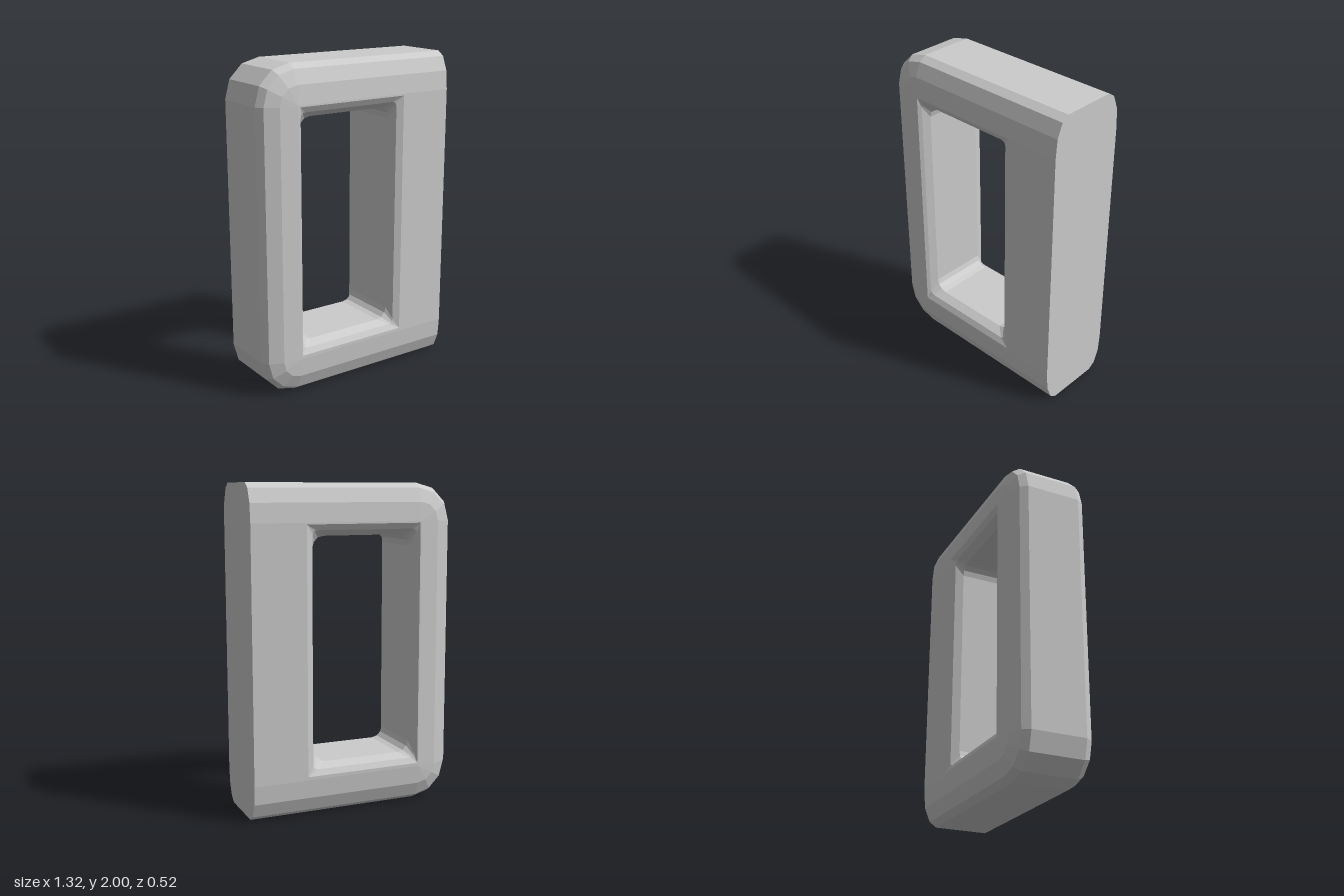
import * as THREE from 'three';

const SEG = 3; // segments per rounded corner

// Counter-clockwise rectangular loop; rl and rr are the left and right corner radii.
function ring(x0, x1, y0, y1, z, rl, rr) {
  const corners = [
    [x1 - rr, y0 + rr, rr, -90], [x1 - rr, y1 - rr, rr, 0],
    [x0 + rl, y1 - rl, rl, 90], [x0 + rl, y0 + rl, rl, 180],
  ];
  return corners.flatMap(([cx, cy, r, start]) =>
    Array.from({ length: SEG + 1 }, (_, i) => {
      const a = THREE.MathUtils.degToRad(start + (90 * i) / SEG);
      return new THREE.Vector3(cx + r * Math.cos(a), cy + r * Math.sin(a), z);
    }));
}

// Outer loop inset by d on every side but the flat end at +x.
const outer = (d, z) => ring(-0.66 + d, 0.66, d, 2 - d, z, 0.23 - d, 0);

// Join consecutive loops with quads, wrapping from the last to the first.
function bridge(rings) {
  const pos = [];
  const ab = new THREE.Vector3(), ac = new THREE.Vector3();
  const tri = (a, b, c) => {
    ab.subVectors(b, a);
    ac.subVectors(c, a);
    if (ab.cross(ac).length() > 1e-7) for (const p of [a, b, c]) pos.push(p.x, p.y, p.z);
  };
  rings.forEach((a, k) => {
    const b = rings[(k + 1) % rings.length];
    a.forEach((p, i) => {
      const j = (i + 1) % a.length;
      tri(p, b[i], b[j]);
      tri(p, b[j], a[j]);
    });
  });
  const geo = new THREE.BufferGeometry();
  geo.setAttribute('position', new THREE.Float32BufferAttribute(pos, 3));
  geo.computeVertexNormals();
  return geo;
}

export function createModel() {
  // Front half: window edge, flat face, then the faceted outer rim
  const front = [
    ring(-0.385, 0.26, 0.315, 1.69, 0.19, 0.07, 0.07),
    ring(-0.405, 0.28, 0.285, 1.725, 0.24, 0.03, 0.03),
    ring(-0.42, 0.32, 0.25, 1.76, 0.26, 0, 0),
    outer(0.23, 0.26),
    outer(0.115, 0.25),
    outer(0.03, 0.215),
    outer(0, 0.17),
  ];
  // Back half mirrors the front
  const back = front.map(r => r.map(p => new THREE.Vector3(p.x, p.y, -p.z))).reverse();

  const frame = new THREE.Mesh(
    bridge([...front, ...back]),
    new THREE.MeshStandardMaterial({ color: 0xcccccc, flatShading: true }));
  frame.name = 'windowFrame';

  const group = new THREE.Group();
  group.name = 'frame';
  group.add(frame);
  return group;
}
